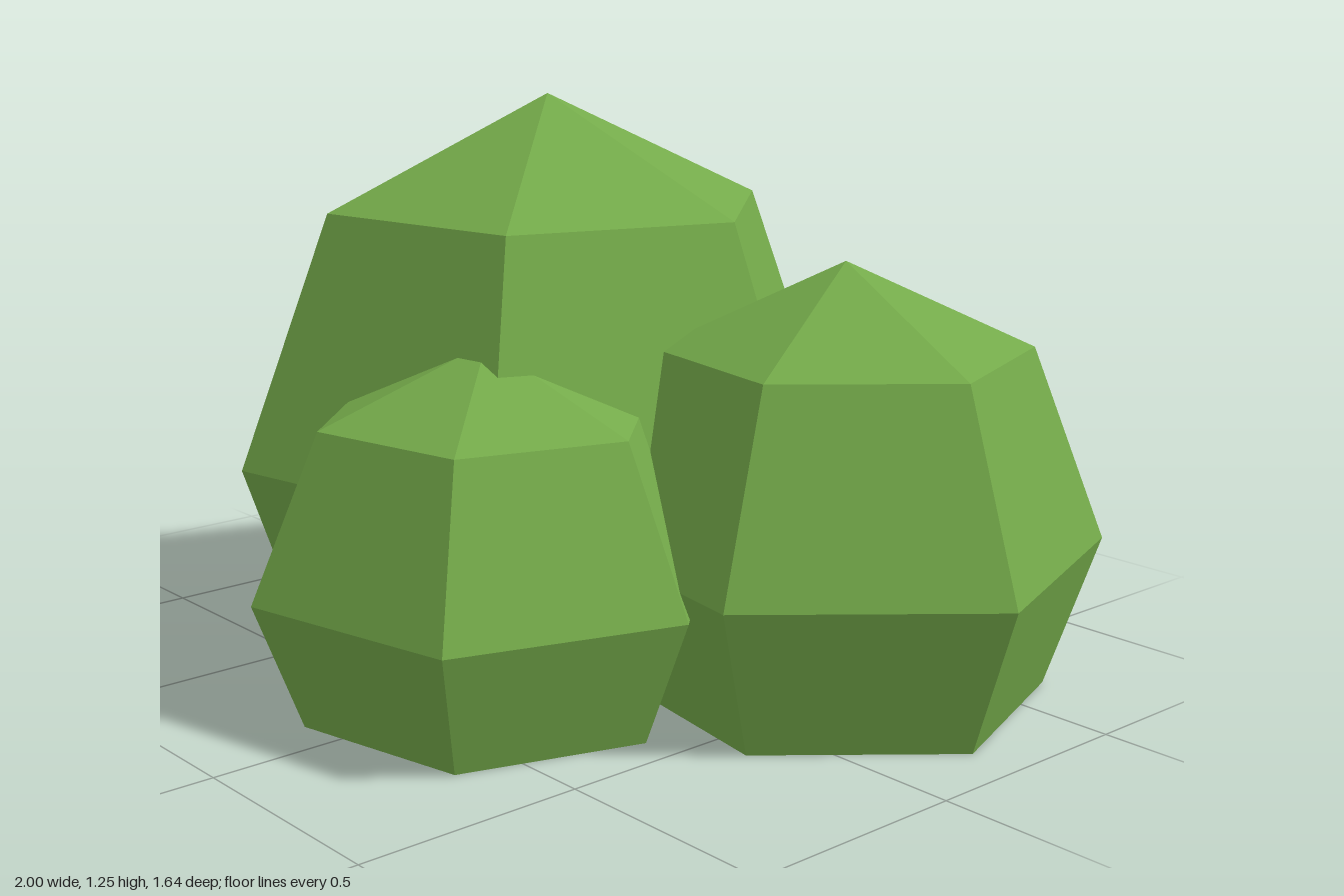
import * as THREE from 'three';

export function createModel() {
  const group = new THREE.Group();
  group.name = 'bush';

  const leafGreen = new THREE.MeshStandardMaterial({ color: 0x74aa4a, flatShading: true });
  leafGreen.name = 'leaf green';

  // Six-sided clump: closed base, wide waist, shoulder ring and pointed crown
  function addClump(name, x, z, radius, height, degrees) {
    const profile = [[0, 0], [0.8, 0], [1, 0.353], [0.71, 0.803], [0, 1]]
      .map(([r, y]) => new THREE.Vector2(r * radius, y * height));
    const start = Math.PI / 2 - THREE.MathUtils.degToRad(degrees);
    const clump = new THREE.Mesh(new THREE.LatheGeometry(profile, 6, start), leafGreen);
    clump.name = name;
    clump.position.set(x, 0, z);
    group.add(clump);
  }

  addClump('largeClump', -0.29, -0.085, 0.724, 1.245, -11.2);
  addClump('mediumClump', 0.44, -0.29, 0.568, 0.934, 9.7);
  addClump('smallClump', 0.02, 0.333, 0.512, 0.778, -12.4);

  return group;
}
